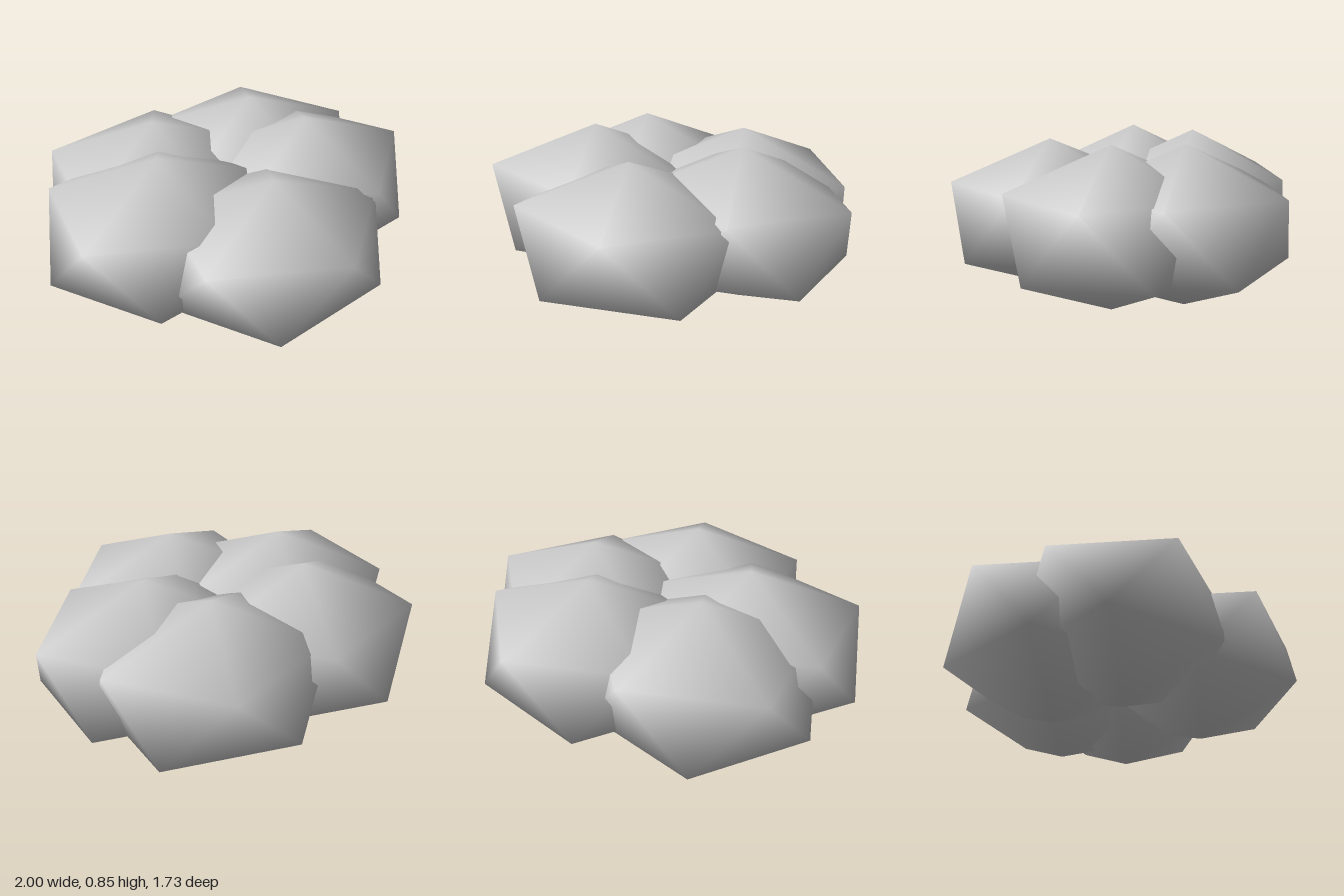
import * as THREE from 'three';

// Smooth-shaded twelve-point ball: two poles and two staggered rings of five
function lobeGeometry() {
  const ringY = 1 / Math.sqrt(5), ringR = 2 / Math.sqrt(5);
  const pos = [0, 1, 0];
  for (const [y, turn] of [[ringY, 0], [-ringY, 0.5]]) {
    for (let k = 0; k < 5; k++) {
      const t = (k + turn) * Math.PI * 2 / 5;
      pos.push(ringR * Math.cos(t), y, ringR * Math.sin(t));
    }
  }
  pos.push(0, -1, 0);

  const index = [];
  for (let k = 0; k < 5; k++) {
    const n = (k + 1) % 5;
    const u0 = 1 + k, u1 = 1 + n, l0 = 6 + k, l1 = 6 + n;
    index.push(0, u1, u0, u0, u1, l0, u1, l1, l0, l0, l1, 11);
  }
  const g = new THREE.BufferGeometry();
  g.setAttribute('position', new THREE.Float32BufferAttribute(pos, 3));
  g.setIndex(index);
  g.computeVertexNormals();
  return g;
}

export function createModel() {
  const group = new THREE.Group();
  group.name = 'lobedCluster';
  const paleGrey = new THREE.MeshStandardMaterial({ color: 0xcccccc });
  paleGrey.name = 'paleGrey';
  const geometry = lobeGeometry();

  // Flattened lobes in a ring: name, centre, half sizes
  const lobes = [
    ['frontLobe', [0.04, 0.415, 0.38], [0.65, 0.395, 0.57]],
    ['rightLobe', [-0.41, 0.435, 0.03], [0.66, 0.41, 0.565]],
    ['leftLobe', [0.43, 0.433, -0.04], [0.64, 0.403, 0.565]],
    ['backRightLobe', [-0.31, 0.418, -0.32], [0.65, 0.418, 0.585]],
    ['backLeftLobe', [0.265, 0.428, -0.37], [0.645, 0.4, 0.585]],
  ];
  for (const [name, centre, size] of lobes) {
    const lobe = new THREE.Mesh(geometry, paleGrey);
    lobe.name = name;
    lobe.position.set(...centre);
    lobe.scale.set(...size);
    group.add(lobe);
  }
  return group;
}
